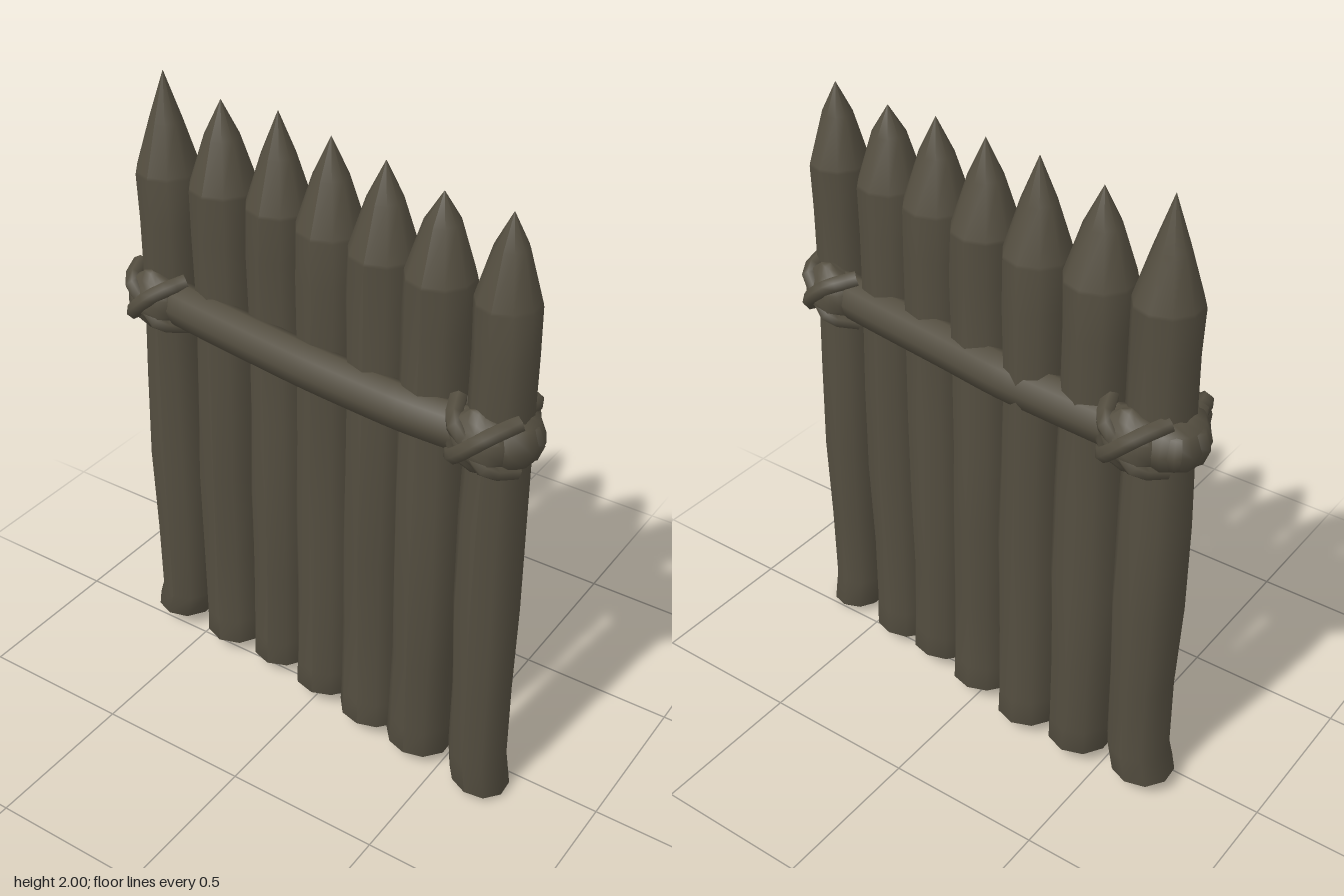
import * as THREE from 'three';

const wood = new THREE.MeshStandardMaterial({ color: 0x544e40 });
wood.name = 'weathered wood';

// One sharpened stake: wobbly rings from the splayed foot to the tip
function makeStake(i, [x, z, bottom, tip, r]) {
  const sides = 10;
  const foot = i === 0 ? -0.02 : i === 6 ? 0.015 : 0;
  // height, radius factor
  const rings = [
    [bottom, 0.0], [bottom, 0.85], [bottom + 0.015, 1.03], [0.14, 1.0], [0.4, 0.99], [0.7, 1.04],
    [1.0, 1.0], [1.3, 0.96], [1.55, 0.98], [1.69, 0.98], [1.7, 0.96], [1.85, 0.5], [tip, 0.0],
  ];
  const g = new THREE.CylinderGeometry(1, 1, 1, sides, rings.length - 1, true);
  const p = g.attributes.position;
  for (let k = 0; k < p.count; k++) {
    const row = rings.length - 1 - Math.floor(k / (sides + 1));
    const a = ((k % (sides + 1)) / sides) * Math.PI * 2;
    const [y, f] = rings[row];
    const wave = y < 1.6 ? 0.006 * Math.sin(y * 5 + i * 2.1) : 0;
    const lump = 1 + (y < 1.6 ? 0.04 * Math.sin(2 * a + y * 4 + i) : 0);
    const splay = y < 0.1 ? foot : 0;
    // the last foot slopes down to the ground
    const tilt = i === 6 && row < 3 ? -0.012 * Math.sin(a) * f : 0;
    p.setXYZ(k, x + wave + splay + Math.sin(a) * r * f * lump, y + tilt, z + wave + Math.cos(a) * r * f * lump);
  }
  g.computeVertexNormals();
  const mesh = new THREE.Mesh(g, wood);
  mesh.name = 'stake' + (i + 1);
  return mesh;
}

// Bar swept through points, squashed to the given height
function makeBar(name, points, radius, closed, stretch = 1) {
  const y0 = 1.3;
  const path = new THREE.CatmullRomCurve3(points.map(q => new THREE.Vector3(...q)), closed, 'catmullrom', 0.3);
  const g = new THREE.TubeGeometry(path, closed ? 72 : 12, radius, 8, closed);
  g.translate(0, -y0, 0).scale(1, stretch, 1).translate(0, y0, 0);
  const mesh = new THREE.Mesh(g, wood);
  mesh.name = name;
  return mesh;
}

// Lumpy lashing with two crossed straps, facing +z or -z
function makeKnot(name, x, z, dir, turn) {
  const knot = new THREE.Group();
  knot.name = name;
  const g = new THREE.SphereGeometry(1, 14, 10);
  const p = g.attributes.position;
  for (let k = 0; k < p.count; k++) {
    const v = new THREE.Vector3().fromBufferAttribute(p, k);
    const s = 1 + 0.1 * Math.sin(5 * v.x + 2) * Math.cos(6 * v.y) + 0.06 * Math.sin(7 * v.z + 3 * v.x);
    p.setXYZ(k, v.x * s * 0.105, v.y * s * 0.088, v.z * s * 0.075);
  }
  g.computeVertexNormals();
  const core = new THREE.Mesh(g, wood);
  core.name = 'knotCore';
  knot.add(core);
  for (const s of [-1, 1]) {
    const path = new THREE.CatmullRomCurve3([
      new THREE.Vector3(-0.1, -0.075 * s, -0.035),
      new THREE.Vector3(-0.055, -0.05 * s, 0.045),
      new THREE.Vector3(0, 0, 0.058 + 0.012 * s),
      new THREE.Vector3(0.055, 0.05 * s, 0.045),
      new THREE.Vector3(0.1, 0.075 * s, -0.035),
    ]);
    const strap = new THREE.Mesh(new THREE.TubeGeometry(path, 10, 0.026, 6), wood);
    strap.name = 'strap';
    knot.add(strap);
  }
  knot.position.set(x, 1.3, z);
  knot.rotation.y = (dir < 0 ? Math.PI : 0) + turn;
  return knot;
}

export function createModel() {
  const model = new THREE.Group();
  model.name = 'palisade';

  // Stakes: x, z, bottom, tip, radius
  const stakes = [
    [-0.61, -0.07, 0.04, 2.0, 0.102], [-0.4, -0.065, 0.04, 1.96, 0.108], [-0.19, -0.05, 0.035, 1.98, 0.104],
    [0.01, -0.015, 0.04, 1.965, 0.106], [0.21, 0.025, 0.04, 1.96, 0.106], [0.405, 0.055, 0.03, 1.935, 0.104],
    [0.62, 0.08, 0.012, 1.945, 0.094],
  ];
  stakes.forEach((s, i) => model.add(makeStake(i, s)));

  // Rail running round the front, back and both ends
  const y = 1.3;
  model.add(makeBar('rail', [
    [-0.695, y, -0.12], [-0.5, y, -0.125], [-0.13, y, -0.1], [0.1, y, -0.065], [0.53, y, 0.0],
    [0.685, y, 0.06], [0.685, y, 0.12], [0.5, y, 0.13], [0.33, y, 0.128], [0, y, 0.094],
    [-0.5, y, 0.015], [-0.695, y, -0.05],
  ], 0.063, true, 1.12));

  // Lashings at both ends, front and back
  model.add(makeKnot('frontRightKnot', -0.61, 0.02, 1, -0.15));
  model.add(makeKnot('backRightKnot', -0.57, -0.155, -1, -0.1));
  model.add(makeKnot('frontLeftKnot', 0.6, 0.15, 1, -0.1));
  model.add(makeKnot('backLeftKnot', 0.6, -0.01, -1, -0.35));

  // Thicker binding over the rail ends
  model.add(makeBar('rightBinding', [
    [-0.56, y, -0.14], [-0.68, y, -0.125], [-0.695, y, -0.085], [-0.68, y, -0.04], [-0.58, y, 0.015],
  ], 0.068, false, 1.15));
  model.add(makeBar('leftBinding', [
    [0.58, y, 0.0], [0.67, y, 0.055], [0.69, y, 0.09], [0.67, y, 0.125], [0.58, y, 0.145],
  ], 0.068, false, 1.2));

  return model;
}
